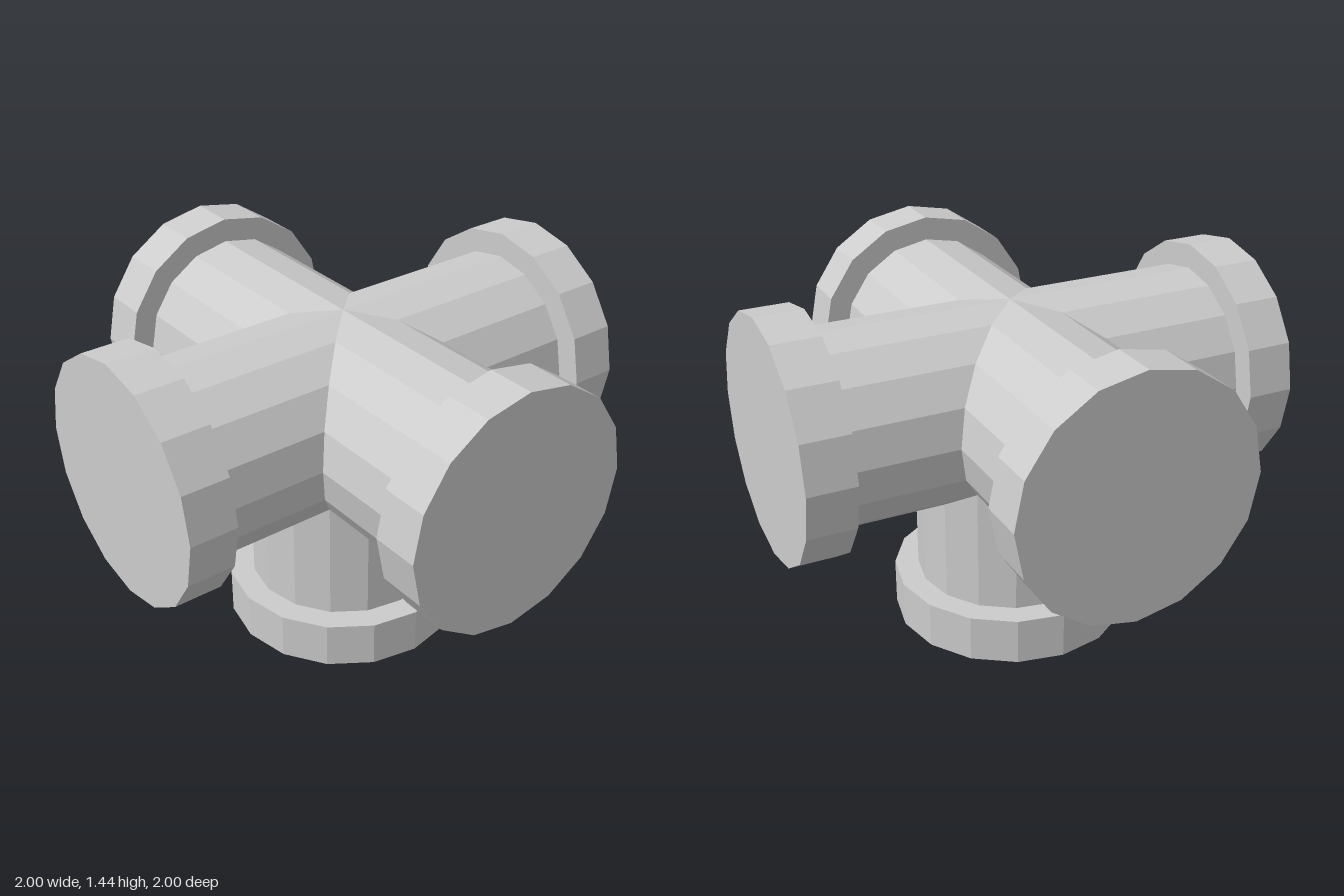
import * as THREE from 'three';

const SIDES = 16;
const PIPE_R = 0.383;
const FLANGE_R = 0.48;
const FLANGE_T = 0.19;
const CENTRE_Y = 0.96;

// One arm growing along +y from the joint centre; mitre(x, z) gives the height where it meets its neighbours
function armGeometry(length, mitre) {
  const profile = [
    [PIPE_R, 0],
    [PIPE_R, length - FLANGE_T],
    [FLANGE_R, length - FLANGE_T],
    [FLANGE_R, length],
    [0, length],
  ].map(([r, y]) => new THREE.Vector2(r, y));
  const geo = new THREE.LatheGeometry(profile, SIDES);
  const pos = geo.attributes.position;
  for (let i = 0; i < pos.count; i += profile.length) {
    pos.setY(i, mitre(pos.getX(i), pos.getZ(i)));
  }
  geo.computeVertexNormals();
  return geo;
}

export function createModel() {
  const group = new THREE.Group();
  group.name = 'pipeJunction';
  const material = new THREE.MeshStandardMaterial({ color: 0xcccccc, flatShading: true });

  // Four horizontal arms, mitred against each other and the arm below
  const sideGeo = armGeometry(1, (x, z) => Math.max(Math.abs(x), z));
  sideGeo.rotateX(Math.PI / 2);
  ['frontArm', 'leftArm', 'backArm', 'rightArm'].forEach((name, i) => {
    const arm = new THREE.Mesh(sideGeo, material);
    arm.name = name;
    arm.position.y = CENTRE_Y;
    arm.rotation.y = (i * Math.PI) / 2;
    group.add(arm);
  });

  // Downward arm that the junction stands on
  const downGeo = armGeometry(CENTRE_Y, (x, z) => Math.max(Math.abs(x), Math.abs(z)));
  downGeo.rotateX(Math.PI);
  const bottomArm = new THREE.Mesh(downGeo, material);
  bottomArm.name = 'bottomArm';
  bottomArm.position.y = CENTRE_Y;
  group.add(bottomArm);

  return group;
}
